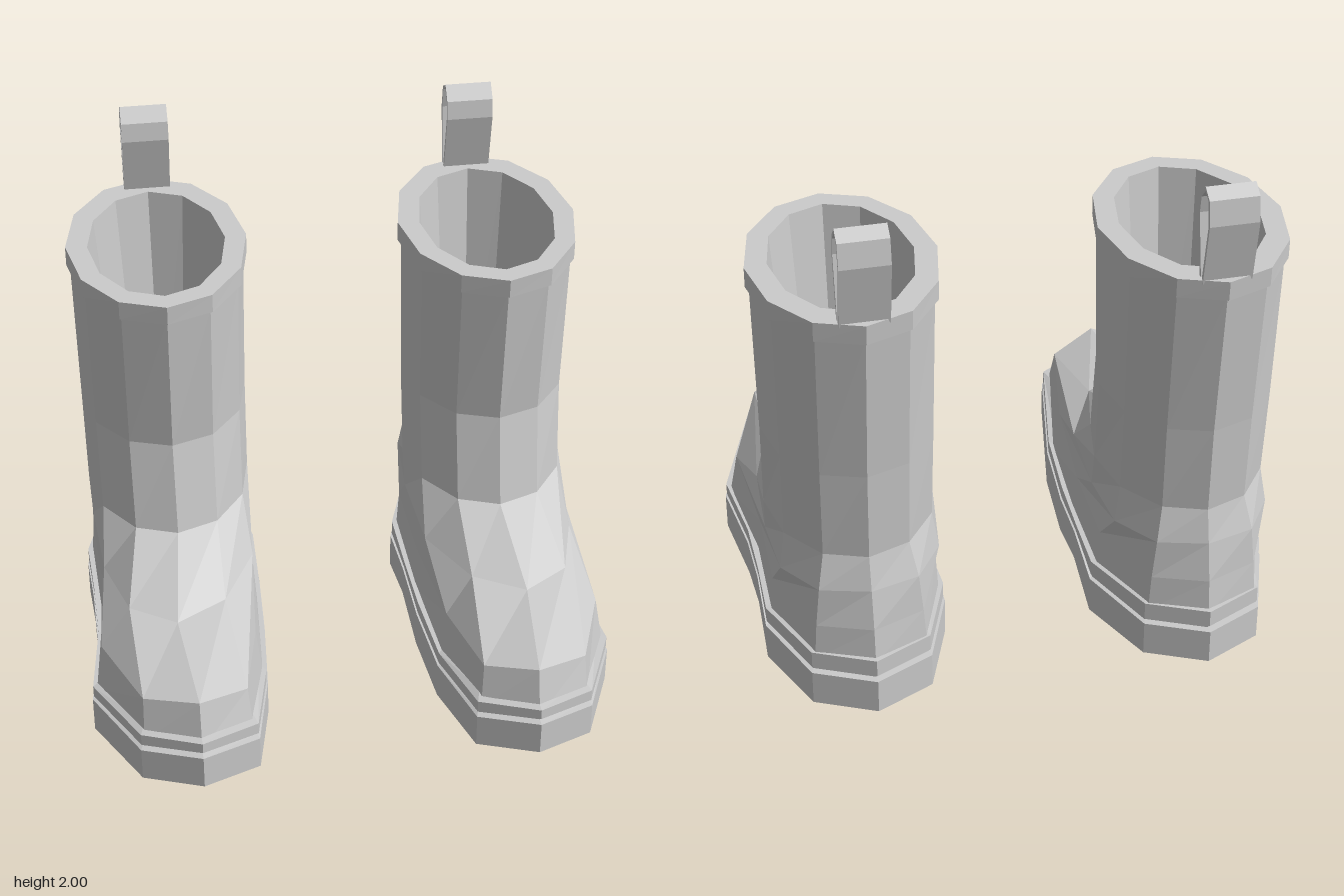
import * as THREE from 'three';

const material = new THREE.MeshStandardMaterial({ color: 0xcccccc, flatShading: true, side: THREE.DoubleSide });

// Full ring from a half profile [x, y, z] running front to back, mirrored in x.
// The forefoot bulges towards the outer side of the foot.
function footRing(half, side, scale = 1) {
  const bulge = z => 0.04 * side * Math.max(0, 1 - Math.abs(z - 0.39) / 0.38);
  const back = half.slice(1, -1).reverse().map(([x, y, z]) => [-x, y, z]);
  return [...half, ...back].map(([x, y, z]) => [(x + bulge(z)) * scale, y, z * scale]);
}

// Level twelve-sided oval ring
function oval(y, rx, rz, cz = -0.415) {
  return Array.from({ length: 12 }, (_, k) => {
    const a = (k * Math.PI) / 6;
    return [rx * Math.sin(a), y, cz + rz * Math.cos(a)];
  });
}

// Skin a stack of rings, optionally closing the first or last one
function loft(name, rings, { capStart = false, capEnd = false } = {}) {
  const pos = [];
  const tri = (a, b, c) => pos.push(...a, ...b, ...c);
  const n = rings[0].length;
  for (let r = 0; r < rings.length - 1; r++) {
    const a = rings[r], b = rings[r + 1];
    for (let i = 0; i < n; i++) {
      const j = (i + 1) % n;
      tri(a[i], a[j], b[j]);
      tri(a[i], b[j], b[i]);
    }
  }
  const cap = (ring, up) => {
    const face = (a, b, c) => (up ? tri(a, b, c) : tri(a, c, b));
    for (let i = 0; i < n / 2; i++) {
      const p = ring[i], q = ring[i + 1], s = ring[n - i - 1], t = ring[(n - i) % n];
      if (q !== s) face(p, q, s);
      if (p !== t) face(p, s, t);
    }
  };
  if (capStart) cap(rings[0], false);
  if (capEnd) cap(rings[rings.length - 1], true);
  const geometry = new THREE.BufferGeometry();
  geometry.setAttribute('position', new THREE.Float32BufferAttribute(pos, 3));
  geometry.computeVertexNormals();
  const mesh = new THREE.Mesh(geometry, material);
  mesh.name = name;
  return mesh;
}

// Sole with a raised toe and arch, a thin groove and the welt above it
function makeSole(side) {
  const outline = [[0, 0.89], [0.217, 0.78], [0.332, 0.39], [0.325, 0.07],
    [0.33, -0.19], [0.338, -0.45], [0.22, -0.78], [0, -0.89]];
  const bottom = [0.13, 0.1, 0.01, 0.005, 0.055, 0.0, 0.03, 0.035];
  const soleTop = [0.265, 0.235, 0.155, 0.15, 0.175, 0.145, 0.165, 0.17];
  const weltLow = [0.283, 0.253, 0.168, 0.16, 0.185, 0.163, 0.185, 0.19];
  const weltTop = [0.325, 0.3, 0.215, 0.21, 0.215, 0.222, 0.25, 0.255];
  const ring = (ys, s) => footRing(outline.map(([x, z], i) => [x, ys[i], z]), side, s);
  return loft('sole', [ring(bottom, 1), ring(soleTop, 1), ring(soleTop, 0.965), ring(weltLow, 0.965),
    ring(weltLow, 0.987), ring(weltTop, 0.987), ring(weltTop, 0.9)], { capStart: true, capEnd: true });
}

// Foot and shaft
function makeUpper(side) {
  const base = [[0, 0.28, 0.855], [0.2, 0.26, 0.755], [0.315, 0.19, 0.37], [0.305, 0.19, -0.05],
    [0.315, 0.2, -0.45], [0.205, 0.22, -0.77], [0, 0.23, -0.86]];
  const toe = [[0, 0.46, 0.81], [0.19, 0.42, 0.71], [0.29, 0.37, 0.34], [0.295, 0.355, -0.08],
    [0.305, 0.36, -0.45], [0.195, 0.365, -0.765], [0, 0.37, -0.845]];
  const instep = [[0, 0.5, 0.4], [0.18, 0.5, 0.29], [0.285, 0.49, 0.02], [0.305, 0.5, -0.32],
    [0.29, 0.51, -0.59], [0.18, 0.52, -0.765], [0, 0.52, -0.815]];
  return loft('upper', [footRing(base, side), footRing(toe, side), footRing(instep, side),
    oval(0.65, 0.31, 0.42, -0.365), oval(1.0, 0.314, 0.388, -0.412), oval(1.59, 0.322, 0.445)]);
}

// Rim band and tapering lining
function makeRim() {
  return loft('rimAndLining', [oval(1.58, 0.31, 0.43), oval(1.58, 0.335, 0.46), oval(1.655, 0.335, 0.465),
    oval(1.655, 0.255, 0.375, -0.405), oval(0.65, 0.177, 0.272)], { capEnd: true });
}

// Pull strap: a flat ribbon bent into a loop
function makeStrap() {
  const width = 0.175;
  const points = list => list.map(([z, y]) => new THREE.Vector2(-z, y));
  const shape = new THREE.Shape(points([[-0.812, 1.64], [-0.766, 1.88], [-0.778, 1.95], [-0.825, 2.0],
    [-0.874, 1.97], [-0.89, 1.88], [-0.848, 1.64]]));
  shape.holes.push(new THREE.Path(points([[-0.826, 1.65], [-0.779, 1.88], [-0.79, 1.945], [-0.827, 1.985],
    [-0.864, 1.962], [-0.877, 1.88], [-0.834, 1.65]])));
  const geometry = new THREE.ExtrudeGeometry(shape, { depth: width, bevelEnabled: false });
  geometry.translate(0, 0, -width / 2);
  geometry.rotateY(Math.PI / 2);
  const mesh = new THREE.Mesh(geometry, material);
  mesh.name = 'pullStrap';
  return mesh;
}

export function createModel() {
  const model = new THREE.Group();
  model.name = 'boots';
  for (const side of [1, -1]) {
    const boot = new THREE.Group();
    boot.name = side > 0 ? 'leftBoot' : 'rightBoot';
    boot.add(makeSole(side), makeUpper(side), makeRim(), makeStrap());
    boot.position.x = side * 0.62;
    model.add(boot);
  }
  return model;
}
